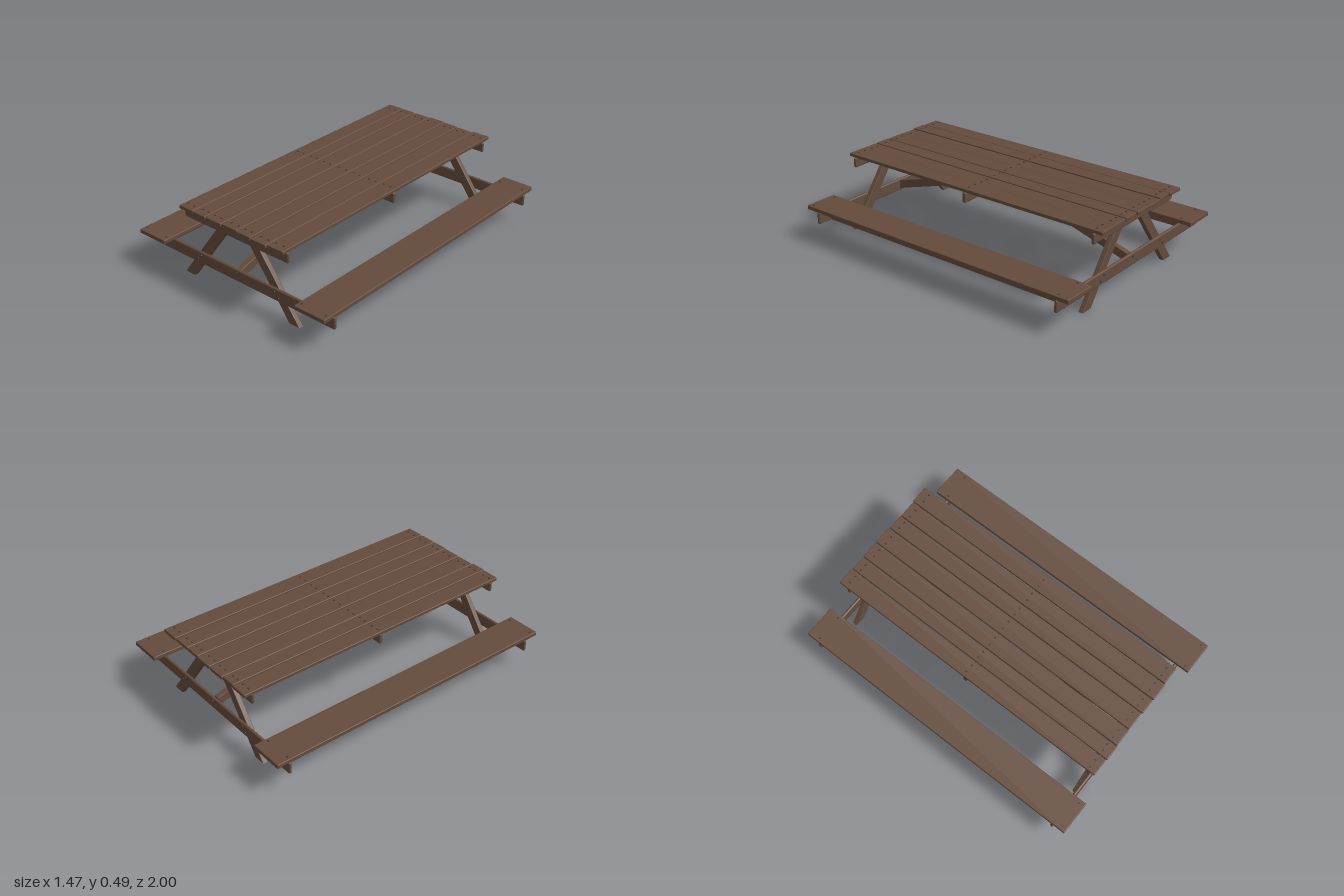
import * as THREE from 'three';
import { RoundedBoxGeometry } from 'three/addons/geometries/RoundedBoxGeometry.js';

export function createModel() {
  const table = new THREE.Group();
  table.name = 'picnicTable';
  const wood = new THREE.MeshStandardMaterial({ color: 0x644b3c });
  wood.name = 'brown wood';
  const iron = new THREE.MeshStandardMaterial({ color: 0x44352c });
  iron.name = 'dark bolt';

  // Softly rounded board given by its limits on each axis
  function board(name, [x0, x1], [y0, y1], [z0, z1], radius = 0.004) {
    const mesh = new THREE.Mesh(new RoundedBoxGeometry(x1 - x0, y1 - y0, z1 - z0, 3, radius), wood);
    mesh.position.set((x0 + x1) / 2, (y0 + y1) / 2, (z0 + z1) / 2);
    mesh.name = name;
    table.add(mesh);
  }

  // Slanted board: an outline with bevelled edges, centred on its thickness
  function slanted(name, points, thickness) {
    const b = 0.004;
    const geometry = new THREE.ExtrudeGeometry(
      new THREE.Shape(points.map(([x, y]) => new THREE.Vector2(x, y))),
      { depth: thickness - 2 * b, bevelEnabled: true, bevelThickness: b, bevelSize: b, bevelOffset: -b, bevelSegments: 2 });
    geometry.translate(0, 0, b - thickness / 2);
    const mesh = new THREE.Mesh(geometry, wood);
    mesh.name = name;
    table.add(mesh);
    return mesh;
  }

  // Low bolt head, upright or facing along z
  const boltGeometry = new THREE.CylinderGeometry(0.006, 0.007, 0.006, 8);
  function bolt(x, y, z, facing = 0) {
    const mesh = new THREE.Mesh(boltGeometry, iron);
    mesh.position.set(x, y, z);
    mesh.rotation.x = facing * Math.PI / 2;
    mesh.name = 'bolt';
    table.add(mesh);
  }

  // Table top planks, slightly uneven in length and height
  const seams = [-0.415, -0.298, -0.195, -0.074, 0.052, 0.16, 0.28, 0.404];
  for (let i = 0; i < 7; i++) {
    const x0 = seams[i] + 0.003, x1 = seams[i + 1] - 0.003;
    const lift = 0.002 * Math.sin(i * 2.3), shift = 0.004 * Math.sin(i * 1.7);
    board('topPlank', [x0, x1], [0.467 + lift, 0.489 + lift], [-0.972 + shift, 0.954 + shift]);
    for (const z of [-0.92, -0.008, 0.905])
      for (const t of [0.27, 0.73])
        bolt(x0 + (x1 - x0) * (t + 0.06 * Math.sin(i * 3 + z * 5)), 0.489 + lift, z);
  }
  board('middleCrossBeam', [-0.41, 0.405], [0.402, 0.468], [-0.013, 0.013], 0.008);

  // End frames: cross beams outside, slanted legs inside
  for (const side of [1, -1]) {
    const inner = side > 0 ? 0.867 : 0.874;
    const span = (a, b) => side > 0 ? [inner + a, inner + b] : [-inner - b, -inner - a];
    board('topCrossBeam', [-0.41, 0.405], [0.402, 0.468], span(0.031, 0.051), 0.009);
    board('seatCrossBeam', [-0.737, 0.737], [0.125, 0.203], span(0.031, 0.051), 0.009);
    for (const s of [1, -1]) {
      const leg = slanted('leg',
        [[0.385, 0.002], [0.462, 0.002], [0.118, 0.466], [0.041, 0.466]].map(([x, y]) => [s * x, y]), 0.032);
      leg.position.z = side * (inner + 0.016);
      const face = side * (inner + 0.052);
      bolt(s * 0.09, 0.442, face, side);
      bolt(s * 0.295, 0.18, face, side);
      bolt(s * 0.325, 0.15, face, side);
      bolt(s * 0.625, 0.182, face, side);
      bolt(s * 0.625, 0.157, face, side);
    }
    bolt(0, 0.182, side * (inner + 0.052), side);

    // Diagonal brace from the middle beam down to the seat beam
    const brace = slanted('diagonalBrace',
      [[0, 0.464], [0, 0.407], [0.898, 0.14], [0.898, 0.197]], 0.036);
    brace.rotation.y = -side * Math.PI / 2;
  }

  // Benches with a rail along the middle underneath
  for (const s of [1, -1]) {
    const x = s > 0 ? [0.52, 0.737] : [-0.737, -0.52];
    board('seat', x, [0.203, 0.23], [-1, 1]);
    board('seatRail', [s * 0.628 - 0.016, s * 0.628 + 0.016], [0.13, 0.206], [-0.905, 0.898], 0.006);
    for (const dx of [-0.085, 0.085]) {
      bolt(s * 0.628 + dx, 0.23, -0.92);
      bolt(s * 0.628 + dx, 0.23, 0.962);
    }
  }
  return table;
}
